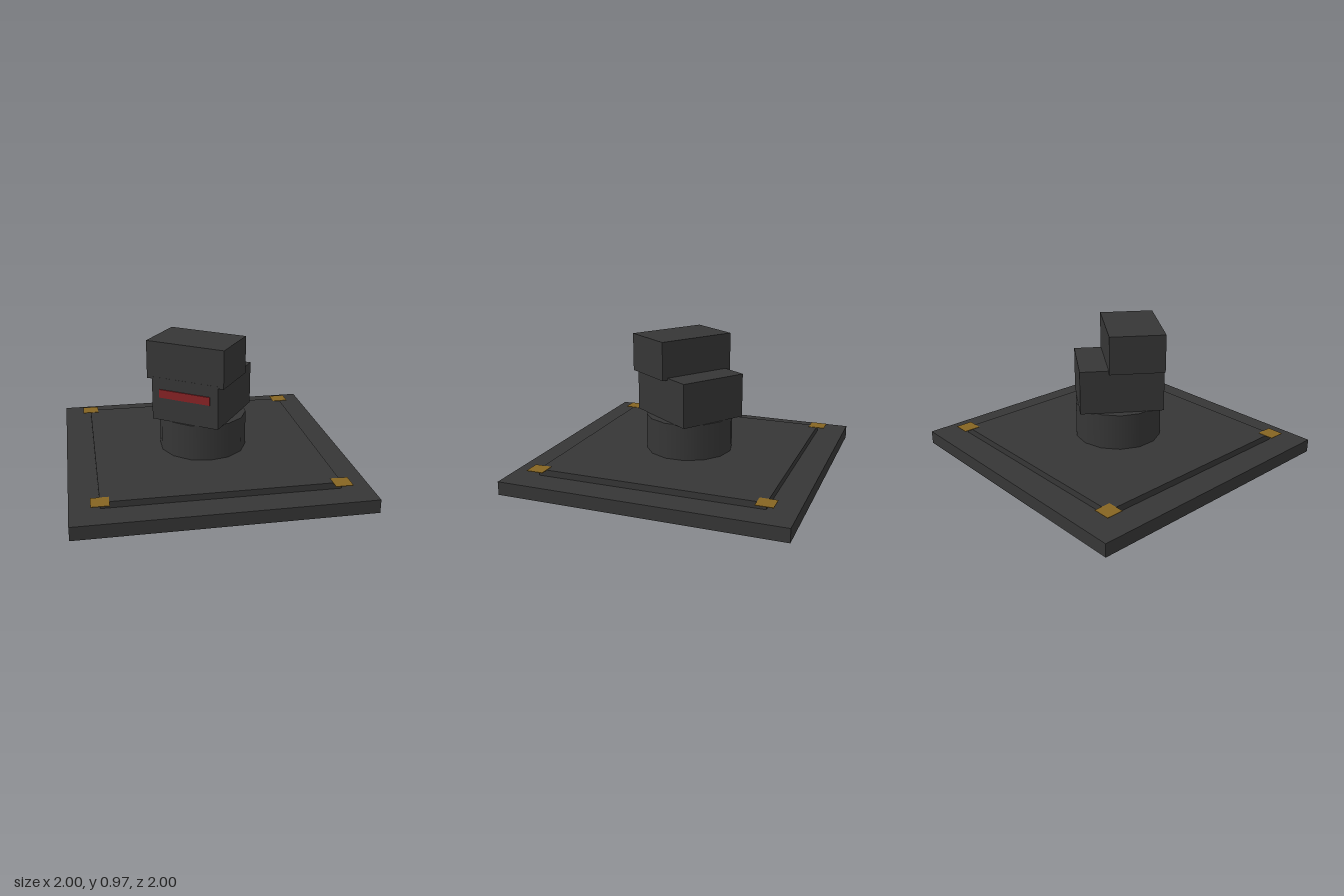
import * as THREE from 'three';

export function createModel() {
  const model = new THREE.Group();
  const charcoal = new THREE.MeshStandardMaterial({ color: 0x363636 });
  charcoal.name = 'charcoal';
  const gold = new THREE.MeshStandardMaterial({ color: 0x866522 });
  gold.name = 'gold';
  const red = new THREE.MeshStandardMaterial({ color: 0x852124 });
  red.name = 'red';

  function add(parent, name, geometry, material, x, y, z) {
    const mesh = new THREE.Mesh(geometry, material);
    mesh.name = name;
    mesh.position.set(x, y, z);
    parent.add(mesh);
    return mesh;
  }
  // Box given by its bottom and top heights
  function box(parent, name, w, d, y0, y1, z, material) {
    return add(parent, name, new THREE.BoxGeometry(w, y1 - y0, d), material, 0, (y0 + y1) / 2, z);
  }

  // Stepped square base
  box(model, 'basePlate', 2, 2, 0, 0.095, 0, charcoal);
  box(model, 'baseStep', 1.6, 1.6, 0.095, 0.14, 0, charcoal);

  // Thin marker plates on the step corners
  for (const x of [-0.8, 0.8]) {
    for (const z of [-0.8, 0.8]) {
      add(model, 'cornerMarker', new THREE.BoxGeometry(0.12, 0.004, 0.12), gold, x, 0.141, z);
    }
  }

  // Round pedestal
  add(model, 'pedestal', new THREE.CylinderGeometry(0.315, 0.315, 0.26, 14), charcoal, 0, 0.27, 0);

  // Turned head: body, overhanging cap and a light strip on the front
  const head = new THREE.Group();
  head.name = 'head';
  head.rotation.y = -0.61;
  model.add(head);
  box(head, 'headBody', 0.507, 0.592, 0.4, 0.715, 0, charcoal);
  box(head, 'headCap', 0.587, 0.39, 0.7, 0.973, 0.1, charcoal);
  box(head, 'lightStrip', 0.39, 0.008, 0.57, 0.63, 0.3, red);

  return model;
}
